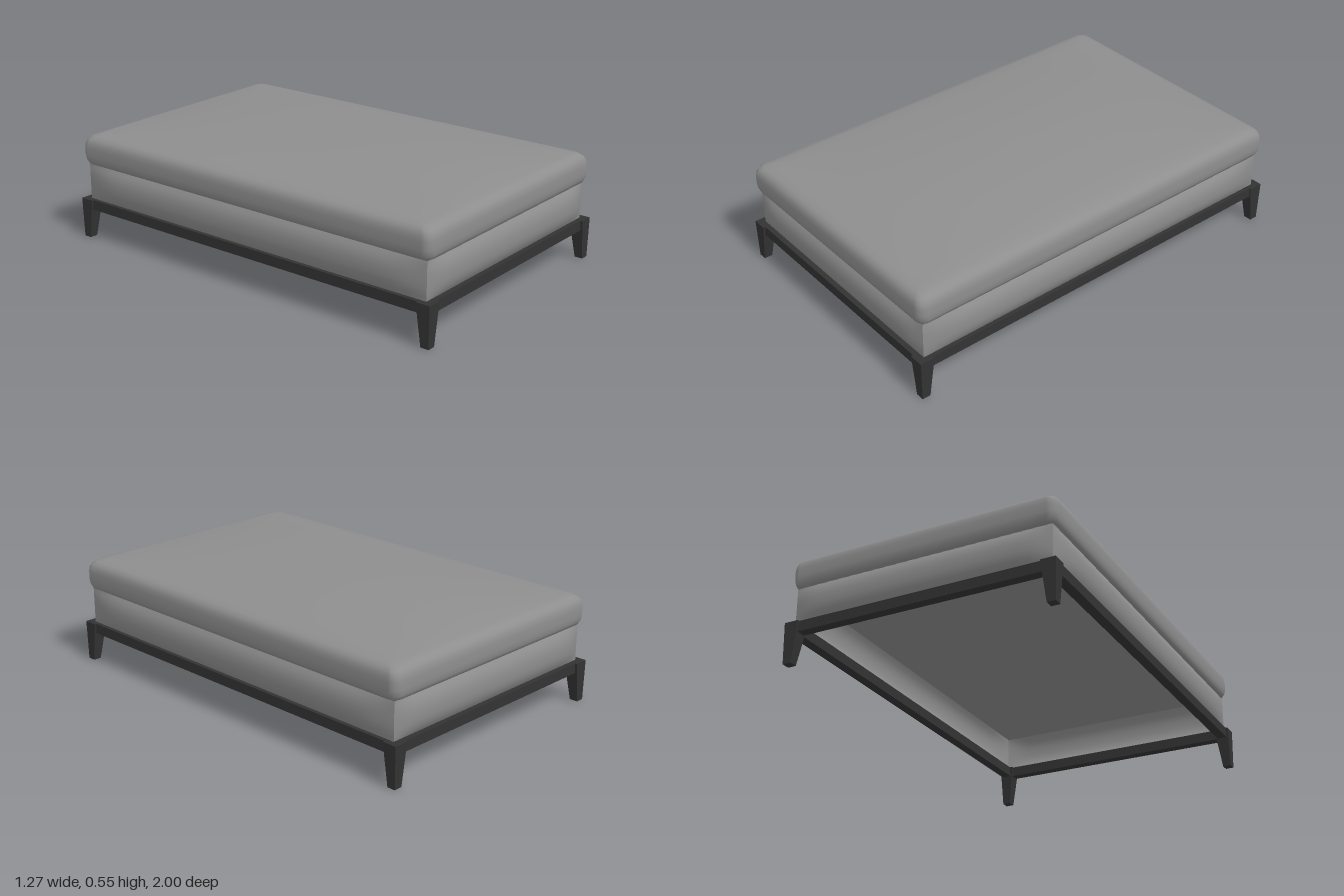
import * as THREE from 'three';

const fabric = new THREE.MeshStandardMaterial({ color: 0x8e8e8e });
fabric.name = 'greyFabric';
const fabricOpen = new THREE.MeshStandardMaterial({ color: 0x8e8e8e, side: THREE.DoubleSide });
fabricOpen.name = 'greyFabricOpen';
const wood = new THREE.MeshStandardMaterial({ color: 0x333333 });
wood.name = 'darkWood';

function add(group, name, geometry, material) {
  const mesh = new THREE.Mesh(geometry, material);
  mesh.name = name;
  group.add(mesh);
  return mesh;
}

// Rounded rectangle outline in x/z, with evenly divided sides
function outline(hx, hz, r, sideSteps = 12, arcSteps = 4) {
  const points = [];
  const signs = [[1, 1], [-1, 1], [-1, -1], [1, -1]];
  signs.forEach(([sx, sz], k) => {
    for (let i = 0; i <= arcSteps; i++) {
      const a = (k + i / arcSteps) * Math.PI / 2;
      points.push([sx * (hx - r) + r * Math.cos(a), sz * (hz - r) + r * Math.sin(a)]);
    }
    const [nx, nz] = signs[(k + 1) % 4];
    const [x0, z0] = points[points.length - 1];
    const end = (k + 1) * Math.PI / 2;
    const x1 = nx * (hx - r) + r * Math.cos(end);
    const z1 = nz * (hz - r) + r * Math.sin(end);
    for (let i = 1; i < sideSteps; i++) {
      const t = i / sideSteps;
      points.push([x0 + (x1 - x0) * t, z0 + (z1 - z0) * t]);
    }
  });
  return points;
}

// Mattress: bulging sides, soft upper edge and a crowned top
function mattressGeometry() {
  const HX = 0.628, HZ = 0.988;
  const shape = outline(HX, HZ, 0.04);
  const crown = (x, z) => 0.505 + 0.04 * (1 - (x / 0.6) ** 2) * (1 - Math.abs(z / 0.96) ** 3);
  const rings = [];
  const ring = (inset, height) => rings.push(shape.map(([x, z]) => {
    const px = x * (HX - inset) / HX, pz = z * (HZ - inset) / HZ;
    return [px, height ?? crown(px, pz), pz];
  }));
  [[0.03, 0.36], [0.012, 0.366], [0.003, 0.385], [0, 0.41], [0, 0.445],
    [0.003, 0.468], [0.012, 0.485], [0.028, 0.498]].forEach(([d, y]) => ring(d, y));
  ring(0.06);
  for (let t = 0.8; t > -0.01; t -= 0.1) {
    rings.push(shape.map(([x, z]) => {
      const px = x * t, pz = z * t;
      return [px, crown(px, pz), pz];
    }));
  }
  const n = shape.length, index = [];
  for (let j = 0; j < rings.length - 1; j++) {
    for (let i = 0; i < n; i++) {
      const a = j * n + i, b = j * n + (i + 1) % n;
      index.push(a, a + n, b, b, a + n, b + n);
    }
  }
  const g = new THREE.BufferGeometry();
  g.setAttribute('position', new THREE.Float32BufferAttribute(rings.flat(2), 3));
  g.setIndex(index);
  g.computeVertexNormals();
  return g;
}

// Upholstered wall that swells outward between its seams
function panelGeometry(width) {
  const h = 0.172, g = new THREE.PlaneGeometry(width, h, 24, 10);
  const p = g.attributes.position;
  for (let i = 0; i < p.count; i++) {
    const u = p.getX(i) / (width / 2), v = p.getY(i) / (h / 2);
    p.setZ(i, 0.026 * (1 - u ** 12) * (1 - Math.abs(v) ** 2.5));
  }
  g.computeVertexNormals();
  return g;
}

// Leg tapering to its outer corner at the floor
function legGeometry(sx, sz) {
  const g = new THREE.BoxGeometry(1, 0.19, 1);
  const p = g.attributes.position;
  for (let i = 0; i < p.count; i++) {
    const low = p.getY(i) < 0;
    const side = (v, s, outer) => s * (v * s > 0 ? outer - (low ? 0.003 : 0) : outer - (low ? 0.042 : 0.068));
    p.setXYZ(i, side(p.getX(i), sx, 0.634), low ? 0 : 0.19, side(p.getZ(i), sz, 1));
  }
  const flat = g.toNonIndexed();
  flat.computeVertexNormals();
  return flat;
}

export function createModel() {
  const model = new THREE.Group();
  model.name = 'daybed';

  add(model, 'mattress', mattressGeometry(), fabric);

  // Underside of the mattress, visible inside the hollow base
  const underside = add(model, 'mattressUnderside', new THREE.PlaneGeometry(1.21, 1.93), fabric);
  underside.rotation.x = Math.PI / 2;
  underside.position.y = 0.36;

  // Hollow upholstered base
  const base = new THREE.Group();
  base.name = 'upholsteredBase';
  const HX = 0.605, HZ = 0.964;
  ['frontPanel', 'leftPanel', 'backPanel', 'rightPanel'].forEach((name, k) => {
    const end = k % 2 === 0;
    const panel = add(base, name, panelGeometry(2 * (end ? HX : HZ)), fabricOpen);
    const a = k * Math.PI / 2;
    const d = end ? HZ : HX;
    panel.rotation.y = a;
    panel.position.set(Math.sin(a) * d, 0.275, Math.cos(a) * d);
  });
  model.add(base);

  // Frame rails and corner legs
  const frame = new THREE.Group();
  frame.name = 'frame';
  for (const s of [1, -1]) {
    const endRail = add(frame, s > 0 ? 'frontRail' : 'backRail', new THREE.BoxGeometry(1.24, 0.048, 0.045), wood);
    endRail.position.set(0, 0.166, s * 0.967);
    const sideRail = add(frame, s > 0 ? 'leftRail' : 'rightRail', new THREE.BoxGeometry(0.045, 0.048, 1.97), wood);
    sideRail.position.set(s * 0.602, 0.166, 0);
    for (const z of [1, -1]) {
      add(frame, (z > 0 ? 'front' : 'back') + (s > 0 ? 'Left' : 'Right') + 'Leg', legGeometry(s, z), wood);
    }
  }
  model.add(frame);
  return model;
}
